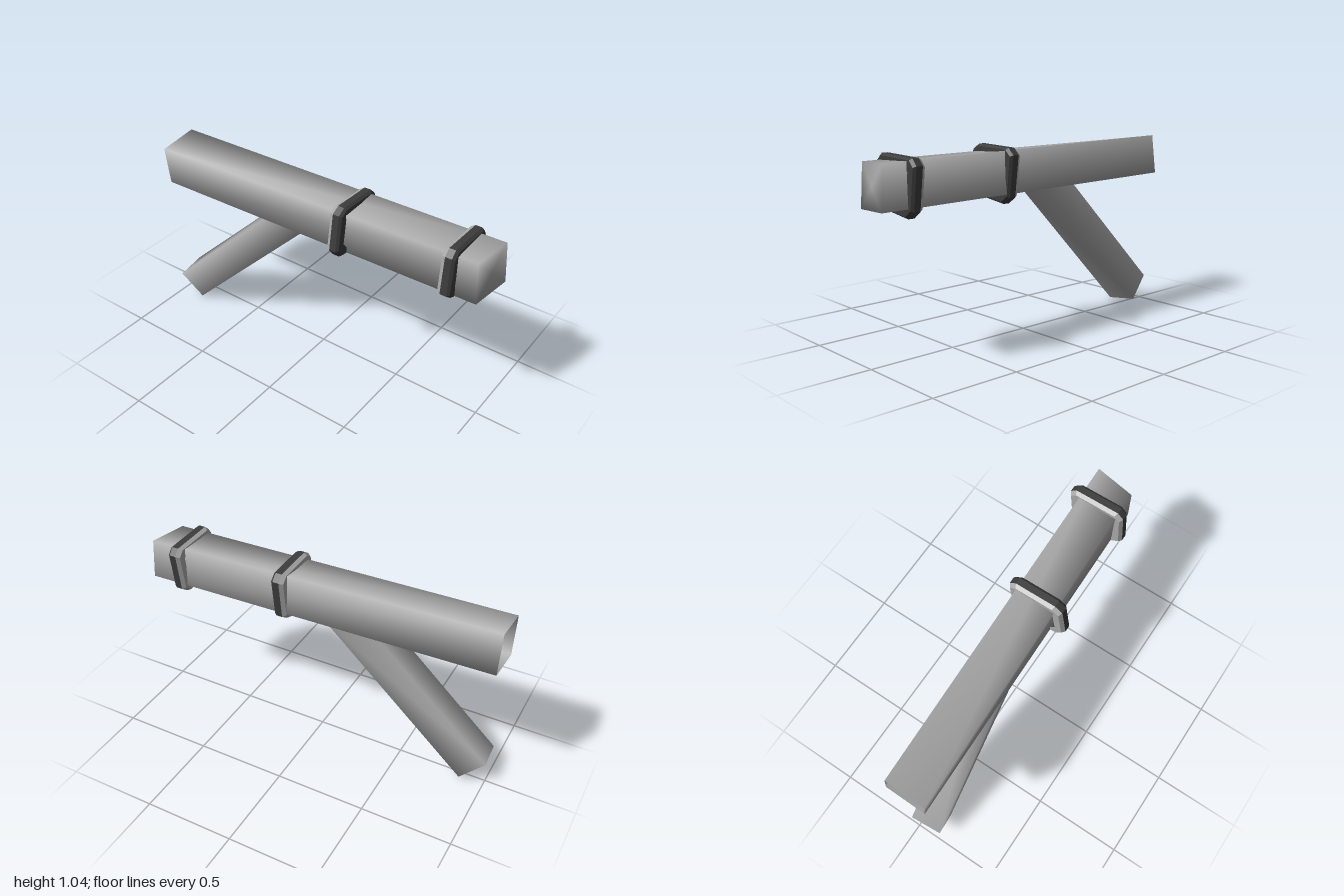
import * as THREE from 'three';

const steel = new THREE.MeshStandardMaterial({ color: 0xaaaaaa, side: THREE.DoubleSide });
steel.name = 'grey metal';
const rubber = new THREE.MeshStandardMaterial({ color: 0x3c3c3c, side: THREE.DoubleSide });
rubber.name = 'dark band';

// Skin a list of equal-length loops, each clockwise seen from the front.
function loft(loops, { capFront = false, flat = false } = {}) {
  const n = loops[0].length;
  const pos = loops.flat(2);
  const index = [];
  for (let i = 0; i < loops.length - 1; i++) {
    for (let j = 0; j < n; j++) {
      const k = (j + 1) % n;
      const a = i * n + j, b = i * n + k, c = b + n, d = a + n;
      index.push(a, b, d, b, c, d);
    }
  }
  if (capFront) {
    const centre = pos.length / 3;
    for (let axis = 0; axis < 3; axis++) {
      pos.push(loops[0].reduce((sum, p) => sum + p[axis], 0) / n);
    }
    for (let j = 0; j < n; j++) index.push(centre, (j + 1) % n, j);
  }
  let geo = new THREE.BufferGeometry();
  geo.setAttribute('position', new THREE.Float32BufferAttribute(pos, 3));
  geo.setIndex(index);
  if (flat) geo = geo.toNonIndexed();
  geo.computeVertexNormals();
  return geo;
}

function addMesh(parent, name, geo, material) {
  const mesh = new THREE.Mesh(geo, material);
  mesh.name = name;
  parent.add(mesh);
}

// Bevelled octagonal collar: dark front and rim, grey back slope.
function makeCollar(name, outline, z) {
  const cx = outline.reduce((s, p) => s + p[0], 0) / outline.length;
  const cy = outline.reduce((s, p) => s + p[1], 0) / outline.length;
  const ring = (scale, dz) =>
    outline.map(([x, y]) => [cx + (x - cx) * scale, cy + (y - cy) * scale, z + dz]);
  const group = new THREE.Group();
  group.name = name;
  const rim = [ring(0.68, 0.034), ring(0.93, 0.034), ring(1, 0.02), ring(1, -0.016)];
  const back = [ring(1, -0.016), ring(0.92, -0.037), ring(0.68, -0.037)];
  addMesh(group, name + 'Rim', loft(rim, { flat: true }), rubber);
  addMesh(group, name + 'Back', loft(back, { flat: true }), steel);
  return group;
}

export function createModel() {
  const model = new THREE.Group();
  model.name = 'bracedBarrel';

  // Square tube, slightly twisted, closed in front and open behind
  const barrel = [
    [[-0.095, 1.005, 0.95], [0.13, 1.015, 0.985], [0.137, 0.788, 1], [-0.095, 0.776, 0.965]],
    [[-0.155, 1.0, -1], [0.07, 1.03, -1], [0.1, 0.805, -1], [-0.13, 0.775, -1]],
  ];
  addMesh(model, 'barrel', loft(barrel, { capFront: true }), steel);

  // Slanted tube running down and back, open at the foot
  const leg = [
    [[-0.112, 0.926, -0.16], [0.066, 0.94, -0.175], [0.095, 0.83, -0.04], [-0.085, 0.82, -0.025]],
    [[-0.143, 0.13, -0.985], [0.035, 0.148, -1], [0.062, 0.022, -0.87], [-0.115, 0, -0.855]],
  ];
  addMesh(model, 'leg', loft(leg), steel);

  // Two collars around the barrel
  model.add(makeCollar('frontCollar', [
    [-0.135, 1.005], [-0.1, 1.037], [0.155, 1.03], [0.187, 0.995],
    [0.16, 0.775], [0.11, 0.737], [-0.11, 0.765], [-0.155, 0.8],
  ], 0.815));
  model.add(makeCollar('rearCollar', [
    [-0.16, 1.015], [-0.115, 1.042], [0.12, 1.035], [0.157, 1.0],
    [0.13, 0.775], [0.08, 0.739], [-0.155, 0.77], [-0.19, 0.815],
  ], 0.19));
  return model;
}
